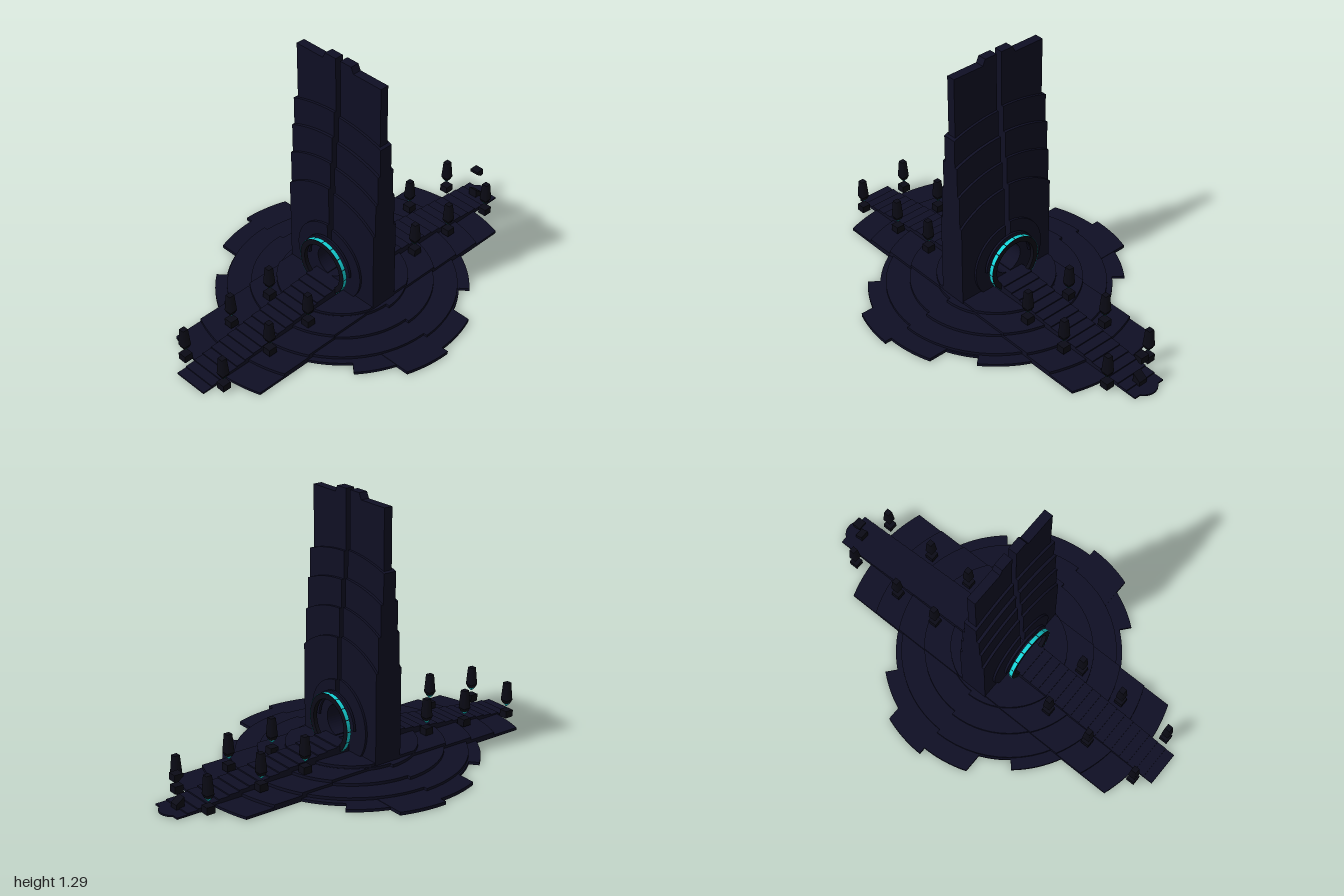
import * as THREE from 'three';

const CX = -0.047;   // axis of the tower and the round base
const HY = 0.19;     // height of the round opening
const SLOT = 0.014;  // half width of the slot
const HOLE = 0.078;

const stone = new THREE.MeshStandardMaterial({ color: 0x0f0f24 });
stone.name = 'midnight stone';
const dark = new THREE.MeshStandardMaterial({ color: 0x0b0b16 });
dark.name = 'black stone';
const glow = new THREE.MeshStandardMaterial({ color: 0x14d2d6, side: THREE.DoubleSide });
glow.name = 'cyan glow';

export function createModel() {
  const model = new THREE.Group();
  model.name = 'monument';

  const group = (name) => {
    const g = new THREE.Group();
    g.name = name;
    model.add(g);
    return g;
  };
  const add = (parent, name, geo, mat, x = 0, y = 0, z = 0) => {
    const m = new THREE.Mesh(geo, mat);
    m.name = name;
    m.position.set(x, y, z);
    parent.add(m);
    return m;
  };
  const extrude = (pts, depth) => new THREE.ExtrudeGeometry(
    new THREE.Shape(pts.map(([x, y]) => new THREE.Vector2(x, y))), { depth, bevelEnabled: false });
  // points along an arc, angles in radians
  const arc = (r, a, b, cy = 0, n = 16) => Array.from({ length: n + 1 }, (_, i) => {
    const t = a + (b - a) * i / n;
    return [r * Math.cos(t), cy + r * Math.sin(t)];
  });

  // --- Base: thin plates, one per quadrant, alternate quadrants differ in radius ---
  const base = group('base');
  const plate = (name, pts, sx, sz, h) => {
    const geo = extrude(pts.map(([x, z]) => [x * sx, -z * sz]), h);
    geo.rotateX(-Math.PI / 2);
    add(base, name, geo, stone, CX);
  };
  const wing = (r, w) => [[0, 0], ...arc(r, 0, Math.asin(w / r), 0, 8), [0, w]];
  const swap = (pts) => pts.map(([a, b]) => [b, a]);
  for (const sx of [1, -1]) for (const sz of [1, -1]) {
    const same = sx === sz;
    const step = THREE.MathUtils.degToRad(50);
    // lowest disc, with a notch in its rim
    const [r1, r2] = same ? [0.607, 0.557] : [0.557, 0.617];
    plate('roundPlate', [[0, 0], ...arc(r1, 0, step), ...arc(r2, step, Math.PI / 2)], sx, sz, 0.014);
    // upper discs
    const k = same ? 0.01 : -0.01;
    [[0.54, 0.028], [0.425, 0.042], [0.3, 0.056]].forEach(([r, h]) =>
      plate('roundTier', [[0, 0], ...arc(r + k, 0, Math.PI / 2)], sx, sz, h));
    // side wings in steps
    [[0.838, 0.013], [0.7, 0.027], [0.565, 0.041], [0.43, 0.055], [0.3, 0.069]].forEach(([r, h]) =>
      plate('wingTier', wing(r + k * 1.3, 0.27), sx, sz, h));
    // front and back aprons
    plate('apron', swap(wing(same ? 0.645 : 0.68, 0.227)), sx, sz, 0.016);
  }

  // --- Long stairway across the middle ---
  const stairs = group('stairway');
  for (let i = 0; i <= 16; i++) {
    const l = -1 + 0.05 * i, r = 0.97 - 0.054 * i, h = 0.008 + 0.0063 * i;
    add(stairs, 'stair', new THREE.BoxGeometry(r - l, h, 0.178), stone, (l + r) / 2, h / 2);
  }
  add(stairs, 'endDisc', new THREE.CylinderGeometry(0.07, 0.07, 0.008, 24), stone, 0.93, 0.004);

  // --- Tower: two slabs parted by a slot, thickened by layers with arched tops ---
  const tower = group('tower');
  const holeY = Math.sqrt(HOLE * HOLE - SLOT * SLOT);
  const holeA = Math.acos(SLOT / HOLE);
  const slab = (name, outer, s, t) => {
    const pts = [[SLOT, 0], ...outer, [SLOT, HY + holeY],
      ...arc(HOLE, holeA, -holeA, HY, 20)].map(([z, y]) => [z * s, y]);
    const geo = extrude(pts, t * 2);
    geo.translate(0, 0, -t);
    geo.rotateY(-Math.PI / 2);
    add(tower, name, geo, stone, CX);
  };
  const W = 0.273;
  const layers = [[0.817, 0.034], [0.685, 0.048], [0.55, 0.06], [0.41, 0.072], [0.205, 0.083]];
  for (const s of [1, -1]) {
    slab('coreSlab', [[0.258, 0], [0.258, 1.26], [0.094, 1.26], [0.08, 1.29], [SLOT, 1.29]], s, 0.022);
    layers.forEach(([r0, t]) => {
      const r = r0 - s * 0.006;
      const end = Math.acos(SLOT / r);
      const outer = r > W
        ? [[W, 0], ...arc(r, Math.acos(W / r), end, HY)]
        : arc(r, -Math.asin(HY / r), end, HY, 32);
      slab('archedLayer', outer, s, t);
    });
  }

  // --- Rings around the opening on both faces ---
  const ringBand = (inner, outer, a, b, t) => {
    const geo = extrude([...arc(outer, a, b, 0, 48), ...arc(inner, b, a, 0, 48)], t);
    geo.translate(0, 0, -t / 2);
    return geo.rotateY(-Math.PI / 2);
  };
  for (const s of [1, -1]) {
    const portal = group('portalRing');
    portal.position.set(CX + s * 0.125, HY, 0);
    add(portal, 'ring', ringBand(0.116, 0.142, 0, Math.PI * 2, 0.02), dark);
    add(portal, 'archBracket', ringBand(0.116, 0.15, 0, Math.PI, 0.012), stone, -s * 0.028);
    const n = 16;
    for (let i = 0; i < n; i++) {
      const band = new THREE.CylinderGeometry(0.144, 0.144, 0.02, 4, 1, true,
        i / n * Math.PI * 2, Math.PI * 2 / n - 0.03);
      add(portal, 'glowBand', band.rotateZ(Math.PI / 2), glow);
    }
  }

  // --- Floating lanterns over small plinths ---
  const frustum = (top, bottom, h) =>
    new THREE.CylinderGeometry(top / Math.SQRT2, bottom / Math.SQRT2, h, 4).rotateY(Math.PI / 4);
  for (const [d, y] of [[0.875, 0.01], [0.597, 0.038], [0.357, 0.054]])
    for (const sx of [1, -1]) for (const sz of [1, -1]) {
      const lantern = group('lantern');
      lantern.position.set(-0.04 + sx * d, y, sz * 0.13);
      add(lantern, 'plinth', new THREE.BoxGeometry(0.044, 0.036, 0.044), dark, 0, 0.018);
      add(lantern, 'glowTip', frustum(0.026, 0.004, 0.016), glow, 0, 0.063);
      add(lantern, 'lanternFoot', frustum(0.04, 0.026, 0.018), dark, 0, 0.08);
      add(lantern, 'lanternBody', frustum(0.028, 0.04, 0.091), dark, 0, 0.1345);
    }

  // --- Console at the end of the stairway, split with a floating top ---
  const consoleGroup = group('console');
  const block = (name, pts) => {
    const geo = extrude(pts, 0.046);
    add(consoleGroup, name, geo, dark, 0, 0, -0.023);
  };
  block('consoleBase', [[0.89, 0], [0.932, 0], [0.932, 0.03], [0.89, 0.06]]);
  block('consoleTop', [[0.89, 0.16], [0.917, 0.14], [0.935, 0.14], [0.935, 0.174], [0.89, 0.174]]);

  return model;
}
